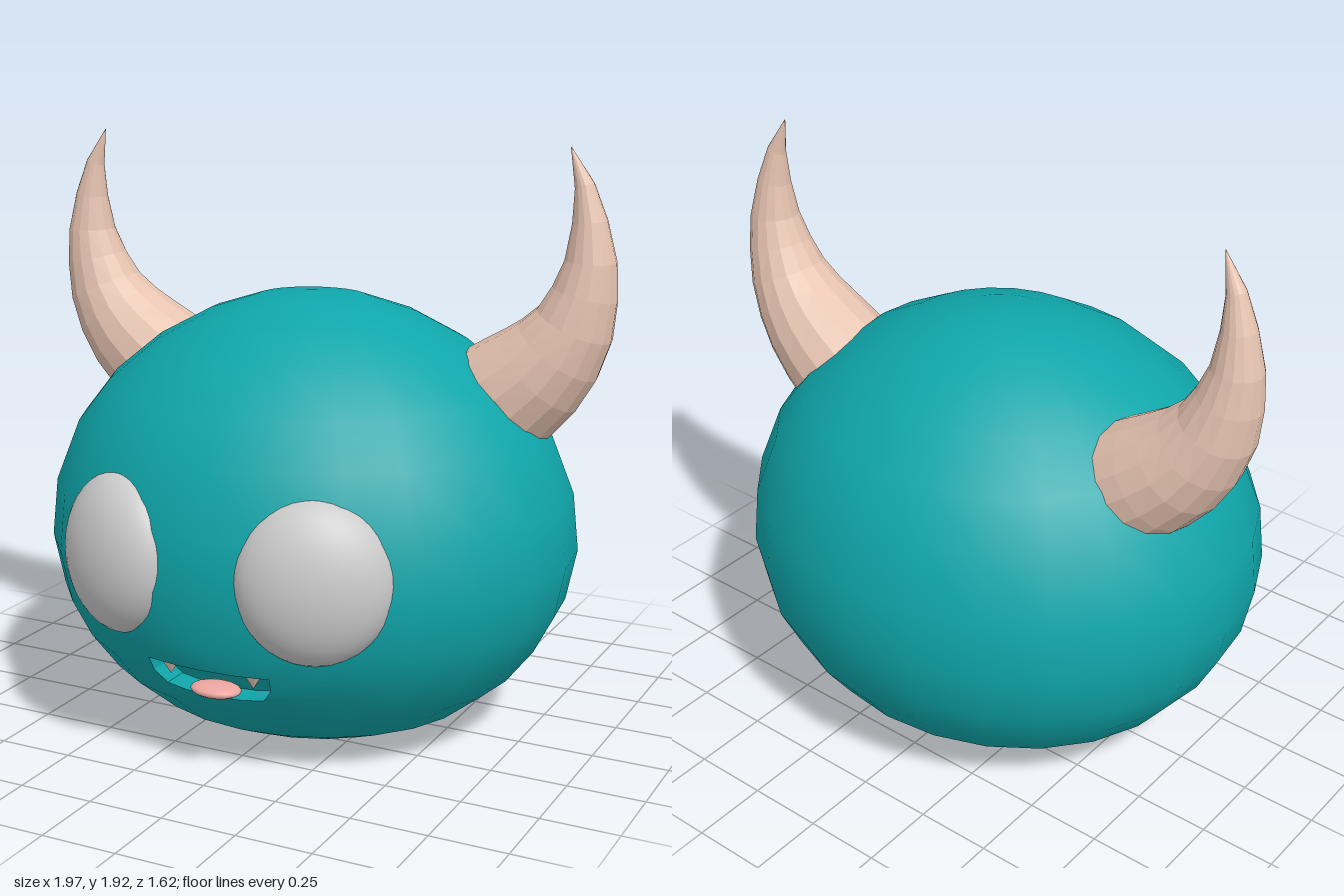
import * as THREE from 'three';
import { mergeVertices, mergeGeometries } from 'three/addons/utils/BufferGeometryUtils.js';

const DEPTH = 0.9; // body is slightly narrower front to back
const SEGMENTS = 24;
// body profile: radius, height
const PROFILE = [[0, 0], [0.2, 0.005], [0.42, 0.03], [0.56, 0.09], [0.7, 0.2], [0.79, 0.315], [0.855, 0.44],
  [0.89, 0.61], [0.87, 0.8], [0.79, 1.0], [0.68, 1.14], [0.52, 1.27], [0.35, 1.36], [0.18, 1.415], [0, 1.433]];
const MOUTH_ROW = 4; // the mouth is cut from this profile row and the next

const material = (color, options = {}) => new THREE.MeshStandardMaterial({ color, ...options });

function mesh(name, geometry, mat) {
  const m = new THREE.Mesh(geometry, mat);
  m.name = name;
  return m;
}

function radiusAt(y) {
  const i = PROFILE.findIndex((p) => p[1] >= y);
  const [r0, y0] = PROFILE[i - 1], [r1, y1] = PROFILE[i];
  return r0 + (r1 - r0) * (y - y0) / (y1 - y0);
}

// Point on the front of the body
function onFront(x, y) {
  const r = radiusAt(y);
  return [x, y, DEPTH * Math.sqrt(r * r - x * x)];
}

// Closed band between two rings of equal count
function band(outer, inner) {
  const n = outer.length, index = [];
  for (let i = 0; i < n; i++) {
    const j = (i + 1) % n;
    index.push(i, j, n + i, j, n + j, n + i);
  }
  const g = new THREE.BufferGeometry();
  g.setAttribute('position', new THREE.Float32BufferAttribute([...outer, ...inner].flat(), 3));
  g.setIndex(index);
  return g;
}

function mouthRings() {
  const columns = [-2, -1, 0, 1, 2];
  const bodyVertex = (column, row) => {
    const a = column * 2 * Math.PI / SEGMENTS, [r, y] = PROFILE[row];
    return [r * Math.sin(a), y, DEPTH * r * Math.cos(a)];
  };
  const frame = [
    ...columns.map((c) => bodyVertex(c, MOUTH_ROW)), bodyVertex(2, MOUTH_ROW + 1),
    ...columns.map((c) => bodyVertex(-c, MOUTH_ROW + 2)), bodyVertex(-2, MOUTH_ROW + 1),
  ];
  const lip = [[-0.17, 0.28], [-0.1, 0.27], [0, 0.267], [0.1, 0.27], [0.17, 0.28], [0.205, 0.325],
    [0.21, 0.37], [0.1, 0.37], [0, 0.37], [-0.1, 0.37], [-0.21, 0.37], [-0.205, 0.325]].map(([x, y]) => onFront(x, y));
  return { frame, lip };
}

// Rounded body with an opening for the mouth
function bodyGeometry({ frame, lip }) {
  const lathe = new THREE.LatheGeometry(PROFILE.map(([r, y]) => new THREE.Vector2(r, y)), SEGMENTS);
  lathe.scale(1, 1, DEPTH);
  const rows = PROFILE.length - 1;
  const kept = Array.from(lathe.index.array).filter((_, k) => {
    const cell = Math.floor(k / 6), column = Math.floor(cell / rows), row = cell % rows;
    const front = column < 2 || column >= SEGMENTS - 2;
    return !(front && (row === MOUTH_ROW || row === MOUTH_ROW + 1));
  });
  lathe.setIndex(kept);
  lathe.deleteAttribute('normal');
  lathe.deleteAttribute('uv');
  const g = mergeVertices(mergeGeometries([lathe, band(frame, lip)]), 1e-4);
  g.computeVertexNormals();
  return g;
}

// Shallow pocket behind the lips
function pocketGeometry({ lip }) {
  const back = lip.map(([x, y, z]) => [x, y, z - 0.09]);
  const centre = back.map(() => [0, 0.32, 0.625]);
  const g = mergeGeometries([band(lip, back), band(back, centre)]).toNonIndexed();
  g.computeVertexNormals();
  return g;
}

// Tapered horn swept along a curve; tipZ is where the point ends
function hornGeometry(tipZ) {
  // centre x, centre y, radius
  const rings = [[0.56, 1.07, 0.2], [0.67, 1.15, 0.187], [0.745, 1.215, 0.172], [0.805, 1.285, 0.152], [0.855, 1.37, 0.128],
    [0.885, 1.47, 0.104], [0.9, 1.57, 0.081], [0.893, 1.69, 0.055], [0.872, 1.8, 0.031], [0.825, 1.915, 0.001]];
  const last = rings.length - 1;
  const g = new THREE.CylinderGeometry(1, 1, 1, 16, last, true);
  const p = g.attributes.position;
  for (let i = 0; i < p.count; i++) {
    const k = Math.round((p.getY(i) + 0.5) * last);
    const [cx, cy, r] = rings[k];
    const a = rings[Math.max(k - 1, 0)], b = rings[Math.min(k + 1, last)];
    const length = Math.hypot(b[0] - a[0], b[1] - a[1]);
    const tx = (b[0] - a[0]) / length, ty = (b[1] - a[1]) / length;
    const side = p.getX(i) * r;
    p.setXYZ(i, cx + side * ty, cy - side * tx, p.getZ(i) * r - 0.11 + (tipZ + 0.11) * k / last);
  }
  g.computeVertexNormals();
  return g;
}

export function createModel() {
  const model = new THREE.Group();
  model.name = 'hornedCreature';
  const skin = material(0x0fa6aa);
  const hornMat = material(0xe6c3b0, { flatShading: true, side: THREE.DoubleSide });
  const eyeMat = material(0xcccccc);
  const rings = mouthRings();

  model.add(mesh('body', bodyGeometry(rings), skin));
  model.add(mesh('mouthPocket', pocketGeometry(rings), skin));

  // Tongue
  const tongue = mesh('tongue', new THREE.SphereGeometry(1, 16, 10), material(0xeda5a0));
  tongue.scale.set(0.085, 0.022, 0.06);
  tongue.position.set(0, 0.287, 0.665);
  model.add(tongue);

  for (const s of [1, -1]) {
    const label = s > 0 ? 'left' : 'right';

    // Horn, mirrored to the other side by a half turn of its own cross-section
    const hornGeo = hornGeometry(s > 0 ? -0.105 : -0.065);
    const horn = mesh(label + 'Horn', hornGeo, hornMat);
    horn.scale.x = s;
    model.add(horn);

    // Bulging eye, turned to follow the body surface
    const eye = mesh(label + 'Eye', new THREE.SphereGeometry(1, 32, 20), eyeMat);
    eye.scale.set(0.245, 0.256, 0.14);
    eye.rotation.set(-0.06, s * 0.4, 0, 'YXZ');
    eye.position.set(s * 0.335, 0.68, 0.655);
    model.add(eye);

    // Small tooth hanging from the upper lip
    const tooth = mesh(label + 'Tooth', new THREE.ConeGeometry(0.03, 0.05, 10), hornMat);
    tooth.rotation.x = Math.PI;
    tooth.position.set(s * 0.145, 0.347, 0.69);
    model.add(tooth);
  }
  return model;
}
